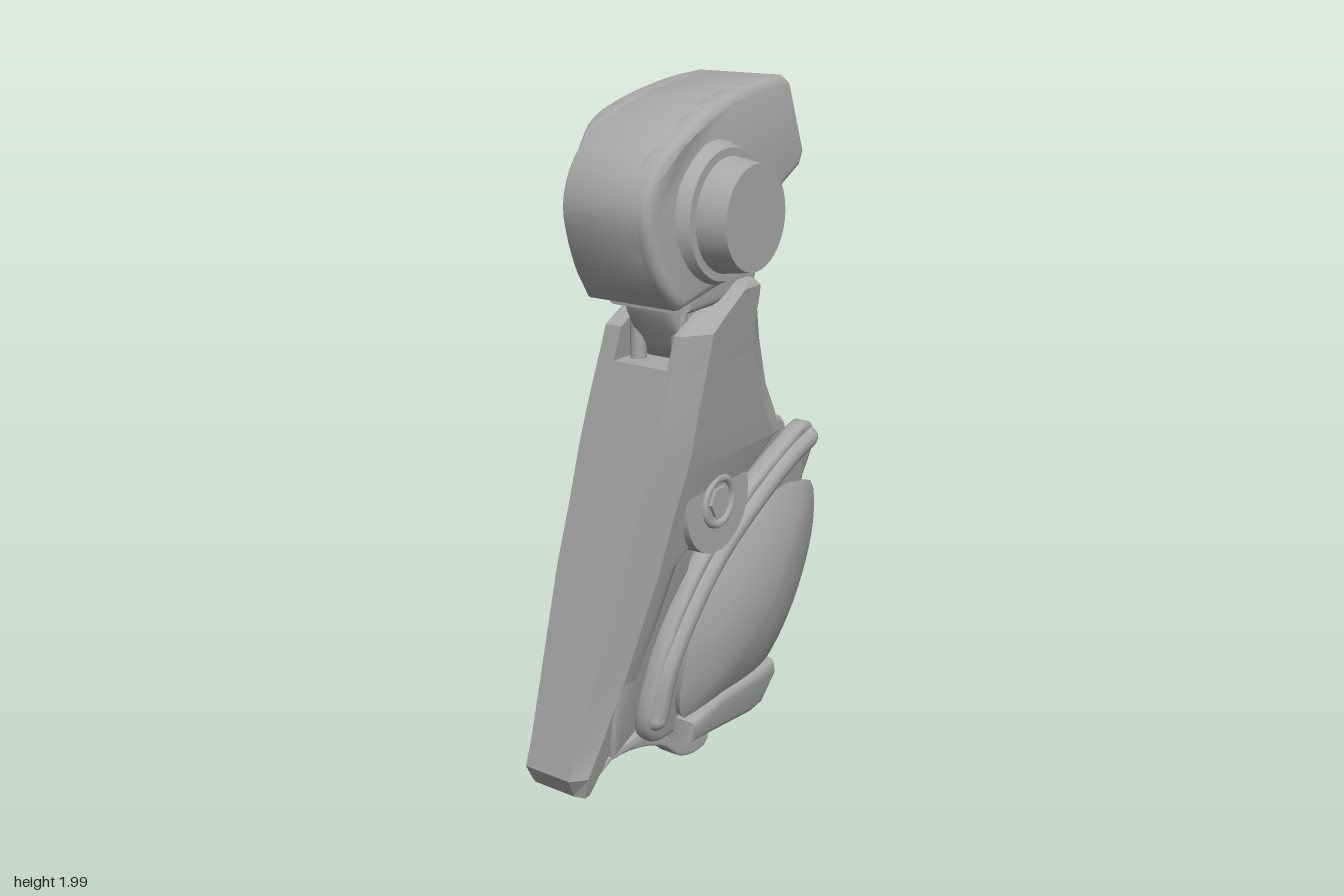
import * as THREE from 'three';
import { toCreasedNormals } from 'three/addons/utils/BufferGeometryUtils.js';

const grey = new THREE.MeshStandardMaterial({ color: 0xa8a8a8 });
grey.name = 'plain grey';

// The lower limb leans sideways: its centre line shifts in x with height.
const lean = (y) => -0.162 + 0.148 * y;
const leanRule = (v) => { v.x += lean(v.y); };

function add(group, name, geo, crease = 0.6) {
  const mesh = new THREE.Mesh(toCreasedNormals(geo, crease), grey);
  mesh.name = name;
  group.add(mesh);
}

// Move every vertex by a rule.
function warp(geo, rule) {
  const p = geo.attributes.position;
  const v = new THREE.Vector3();
  for (let i = 0; i < p.count; i++) {
    rule(v.fromBufferAttribute(p, i));
    p.setXYZ(i, v.x, v.y, v.z);
  }
  return geo;
}

// Smooth line through [z, y] points.
function smooth(pts, n = 48, closed = true) {
  const c = new THREE.CatmullRomCurve3(pts.map(([z, y]) => new THREE.Vector3(z, y, 0)), closed);
  return c.getSpacedPoints(n).slice(0, closed ? n : n + 1).map((p) => [p.x, p.y]);
}

// Side profile in [z, y], extruded between two x values with a rounded edge.
function slab(pts, xa, xb, bevel = 0.012) {
  const shape = new THREE.Shape(pts.map(([z, y]) => new THREE.Vector2(z, y)));
  const depth = Math.abs(xb - xa) - 2 * bevel;
  const geo = new THREE.ExtrudeGeometry(shape, {
    depth, bevelThickness: bevel, bevelSize: bevel, bevelOffset: -bevel, bevelSegments: 3,
  });
  return geo.translate(0, 0, -depth / 2).rotateY(-Math.PI / 2).translate((xa + xb) / 2, 0, 0);
}

// Closed solid through rings of points.
function loft(rings) {
  const n = rings[0].length, pos = [], idx = [];
  rings.forEach((r) => r.forEach((p) => pos.push(...p)));
  for (let i = 0; i < rings.length - 1; i++) {
    for (let j = 0; j < n; j++) {
      const a = i * n + j, b = i * n + (j + 1) % n;
      idx.push(a, b, b + n, a, b + n, a + n);
    }
  }
  [0, rings.length - 1].forEach((i) => {
    const centre = [0, 1, 2].map((k) => rings[i].reduce((s, p) => s + p[k], 0) / n);
    const m = pos.length / 3;
    pos.push(...centre);
    for (let j = 0; j < n; j++) {
      const a = i * n + j, b = i * n + (j + 1) % n;
      if (i === 0) idx.push(m, b, a); else idx.push(m, a, b);
    }
  });
  const geo = new THREE.BufferGeometry();
  geo.setAttribute('position', new THREE.Float32BufferAttribute(pos, 3));
  geo.setIndex(idx);
  return geo;
}

// Cylinder lying along x.
function drum(r1, r2, xa, xb, y, z, sides = 36) {
  return new THREE.CylinderGeometry(r2, r1, xb - xa, sides)
    .rotateZ(-Math.PI / 2).translate((xa + xb) / 2, y, z);
}

function buildShin(g) {
  // height, front z, back z, half width, back half width, front and back chamfer depth
  const sections = [
    [0.07, 0.49, 0.45, 0.095, 0.08, 0.01, 0.01], [0.14, 0.53, 0.41, 0.105, 0.095, 0.04, 0.02],
    [0.22, 0.515, 0.36, 0.107, 0.097, 0.06, 0.02], [0.4, 0.48, 0.31, 0.122, 0.11, 0.08, 0.03],
    [0.72, 0.425, 0.23, 0.144, 0.135, 0.1, 0.03], [0.9, 0.39, -0.06, 0.15, 0.14, 0.1, 0.03],
    [1.0, 0.37, -0.2, 0.156, 0.145, 0.1, 0.04], [1.06, 0.36, -0.18, 0.158, 0.135, 0.1, 0.07],
    [1.15, 0.345, -0.14, 0.158, 0.115, 0.09, 0.1], [1.29, 0.317, -0.085, 0.157, 0.107, 0.08, 0.1],
  ];
  add(g, 'shinBlade', loft(sections.map(([y, f, b, w, wb, df, db]) => {
    const c = lean(y), r = w * 0.65, l = w - 0.02;
    return [[r, f], [w, f - df], [w, b + db], [wb, b], [-wb, b], [-w, b + db], [-w, f - df], [-l, f]]
      .map(([x, z]) => [c + x, y, z]);
  })), 0.4);

  // Fork that holds the neck: height, front z, back z
  const fork = [[1.28, 0.319, -0.088], [1.38, 0.3, -0.052], [1.42, 0.235, -0.037], [1.45, 0.18, -0.02], [1.475, 0.13, 0],
    [1.493, 0.09, 0.03]];
  const lever = [[0.24, 0.9], [0.12, 0.76], [0.15, 0.63], [0.26, 0.46], [0.3, 0.22], [0.4, 0.17], [0.42, 0.3], [0.36, 0.85]];
  for (const s of [1, -1]) {
    add(g, 'forkCheek', loft(fork.map(([y, f, b]) => {
      const k = (f - b) / 0.4, round = y > 1.48 ? 0.015 : 0;
      const ring = [[0.085, f], [s > 0 ? 0.104 : 0.136, f], [0.157 - round, f - 0.08 * k], [0.157 - round, b + 0.1 * k],
        [0.107, b], [0.085, b]].map(([x, z]) => [lean(y) + s * x, y, z]);
      return s > 0 ? ring : ring.reverse();
    })), 0.5);
    add(g, 'sideLever', warp(slab(lever, s * 0.05, s * 0.122), leanRule));
    // Knee pivot with bolt
    const x = lean(0.87);
    const pivot = (name, r1, r2, a, b, sides) => {
      const geo = s > 0 ? drum(r1, r2, x + a, x + b, 0.87, 0.095, sides) : drum(r2, r1, x - b, x - a, 0.87, 0.095, sides);
      add(g, name, geo);
    };
    pivot('kneeDisc', 0.155, 0.148, 0, 0.158, 40);
    pivot('kneeBolt', 0.05, 0.045, 0.1, 0.166, 6);
    add(g, 'kneeRing', new THREE.TorusGeometry(0.066, 0.012, 10, 32).rotateY(Math.PI / 2)
      .translate(x + s * 0.157, 0.87, 0.095), 1);
  }
  add(g, 'kneeBlock', new THREE.BoxGeometry(0.13, 0.24, 0.2).translate(-0.02, 0.88, -0.06));
  // Inner strut and the curved flap at the ankle
  add(g, 'innerStrut', warp(slab([[0.16, 0.84], [-0.06, 0.8], [-0.06, 0.35], [0.05, 0.22], [0.24, 0.24], [0.2, 0.6]],
    -0.045, 0.045), leanRule));
  const flap = smooth([[0.47, 0.08], [0.38, 0.13], [0.25, 0.125], [0.14, 0.08], [0.07, 0.02], [0, 0.005],
    [-0.05, 0.02], [-0.045, 0.1], [0.08, 0.14], [0.22, 0.17], [0.34, 0.16], [0.44, 0.11]]);
  add(g, 'ankleFlap', warp(slab(flap, -0.035, 0.035, 0.008), (v) => { v.x += -0.06 - 0.1 * (v.z - 0.1); }));
}

function buildFender(g, s) {
  // Both plates close in on each other toward the back.
  const place = (toe) => (v) => { v.x += lean(v.y) + 0.022 + s * toe * v.z; };
  const plate = smooth([[0.32, 0.24], [0.3, 0.4], [0.23, 0.56], [0.1, 0.71], [-0.1, 0.83], [-0.3, 0.91], [-0.45, 0.95],
    [-0.51, 0.9], [-0.5, 0.82], [-0.47, 0.76], [-0.53, 0.6], [-0.52, 0.44], [-0.44, 0.28], [-0.3, 0.17], [-0.1, 0.13],
    [0.15, 0.15], [0.28, 0.18]].reverse(), 70);
  add(g, 'fenderPlate', warp(slab(plate, s * 0.065, s * 0.125, 0.018), place(0.085)), 0.8);

  // Raised ridge along the upper edge
  const path = [[0.28, 0.26], [0.255, 0.4], [0.165, 0.55], [0.03, 0.685], [-0.17, 0.795], [-0.35, 0.865], [-0.46, 0.89]]
    .map(([z, y]) => new THREE.Vector3(s * 0.118, y, z));
  add(g, 'fenderRidge', warp(new THREE.TubeGeometry(new THREE.CatmullRomCurve3(path), 40, 0.036, 10), place(0.085)), 1);
  for (const end of [path[0], path[6]]) {
    add(g, 'ridgeEnd', warp(new THREE.SphereGeometry(0.036, 14, 10).translate(end.x, end.y, end.z), place(0.085)), 1);
  }

  // Domed outer shell
  const edge = smooth([[-0.2, 0.775], [0, 0.675], [0.13, 0.55], [0.195, 0.4], [0.175, 0.22], [-0.05, 0.17], [-0.28, 0.19],
    [-0.41, 0.31], [-0.48, 0.5], [-0.475, 0.66], [-0.41, 0.78]]);
  if (s < 0) edge.reverse();
  const ring = (r, x) => edge.map(([z, y]) => [s * x, 0.46 + (y - 0.46) * r, -0.14 + (z + 0.14) * r]);
  const rings = [ring(0.95, 0.105)];
  for (const r of [1, 0.96, 0.88, 0.75, 0.6, 0.4, 0.2, 0.04]) rings.push(ring(r, 0.155 + 0.07 * (1 - r * r)));
  add(g, 'fenderDome', warp(loft(rings), place(0.04)), 0.7);

  // Bar along the lower edge
  const bar = [[0.17, 0.21], [0.17, 0.135], [0.02, 0.11], [-0.18, 0.075], [-0.25, 0.08], [-0.32, 0.165], [-0.3, 0.215],
    [-0.2, 0.215], [0, 0.23]].reverse();
  add(g, 'fenderBar', warp(slab(bar, s * 0.1, s * 0.197, 0.025), place(0.04)), 0.8);
}

function buildHead(g) {
  const front = smooth([[0.4, 1.475], [0.46, 1.54], [0.505, 1.64], [0.52, 1.73], [0.49, 1.81], [0.42, 1.875],
    [0.25, 1.95], [0.05, 1.99], [-0.1, 2.0]], 32, false);
  const outer = [...front, [-0.13, 1.98]];
  const under = [[-0.17, 1.8], [-0.15, 1.76], [-0.02, 1.695], [0.05, 1.63], [0.1, 1.55], [0.2, 1.51]];
  const inner = [[-0.125, 1.9], [0.05, 1.9], [0.22, 1.85], [0.3, 1.78], [0.33, 1.7], [0.32, 1.57], [0.3, 1.49]];
  // A round scoop cuts into the front edge of the right cheek
  const scoop = [];
  for (let i = 0; i <= 20; i++) {
    const a = THREE.MathUtils.lerp(-1.15, -Math.PI * 2 + 1.15, i / 20);
    scoop.push([0.385 + 0.145 * Math.cos(a), 1.715 + 0.145 * Math.sin(a)]);
  }
  const scooped = [...outer.filter(([, y]) => y < 1.56), ...scoop, ...outer.filter(([, y]) => y > 1.885), ...under];
  // Narrow the flanks toward the crown and brow
  const { smoothstep } = THREE.MathUtils;
  const taper = (v) => {
    const k = 1 - 0.14 * smoothstep(v.y, 1.88, 2) - 0.08 * smoothstep(v.z, 0.4, 0.52);
    v.x = 0.06 + (v.x - 0.06) * k;
  };
  add(g, 'headShell', warp(slab([...outer, ...inner], -0.055, 0.19, 0.004), taper), 0.6);
  add(g, 'headCheekLeft', warp(slab([...outer, ...under], 0.14, 0.22, 0.022), taper), 0.7);
  add(g, 'headCheekRight', warp(slab(scooped, -0.105, -0.035, 0.012), (v) => {
    taper(v);
    v.x += 0.045 * smoothstep(v.z, 0.3, 0.46);
  }), 0.7);
  // Side hub
  const y = 1.69, z = 0.23;
  add(g, 'hubFlange', drum(0.185, 0.165, 0.2, 0.242, y, z));
  add(g, 'hubNeck', drum(0.125, 0.125, 0.22, 0.265, y, z));
  add(g, 'hubCap', drum(0.145, 0.133, 0.245, 0.325, y, z));
}

function buildNeck(g) {
  const core = smooth([[0.27, 1.37], [0.31, 1.47], [0.26, 1.62], [0.1, 1.8], [-0.04, 1.76], [-0.09, 1.68], [-0.08, 1.58],
    [-0.03, 1.5], [-0.01, 1.4], [0.05, 1.28], [0.2, 1.28]].reverse(), 50);
  add(g, 'neckCore', slab(core, -0.035, 0.12, 0.02));
  add(g, 'neckKnuckle', drum(0.07, 0.07, -0.055, 0.14, 1.61, -0.02));
  add(g, 'neckHinge', drum(0.08, 0.08, -0.08, 0.17, 1.41, 0.1));
  add(g, 'neckCollar', slab([[0.31, 1.44], [0.31, 1.53], [0.05, 1.6], [-0.03, 1.53], [0, 1.46], [0.08, 1.44]].reverse(),
    -0.08, 0.175, 0.02));
  for (const x of [-0.025, 0.105]) {
    add(g, 'neckRod', new THREE.CylinderGeometry(0.022, 0.022, 0.22, 12).translate(x, 1.39, 0.25));
  }
}

export function createModel() {
  const model = new THREE.Group();
  model.name = 'mechanicalLimb';
  const part = (name, build, ...args) => {
    const g = new THREE.Group();
    g.name = name;
    build(g, ...args);
    model.add(g);
  };
  part('shin', buildShin);
  part('leftFender', buildFender, 1);
  part('rightFender', buildFender, -1);
  part('neck', buildNeck);
  part('head', buildHead);
  return model;
}
